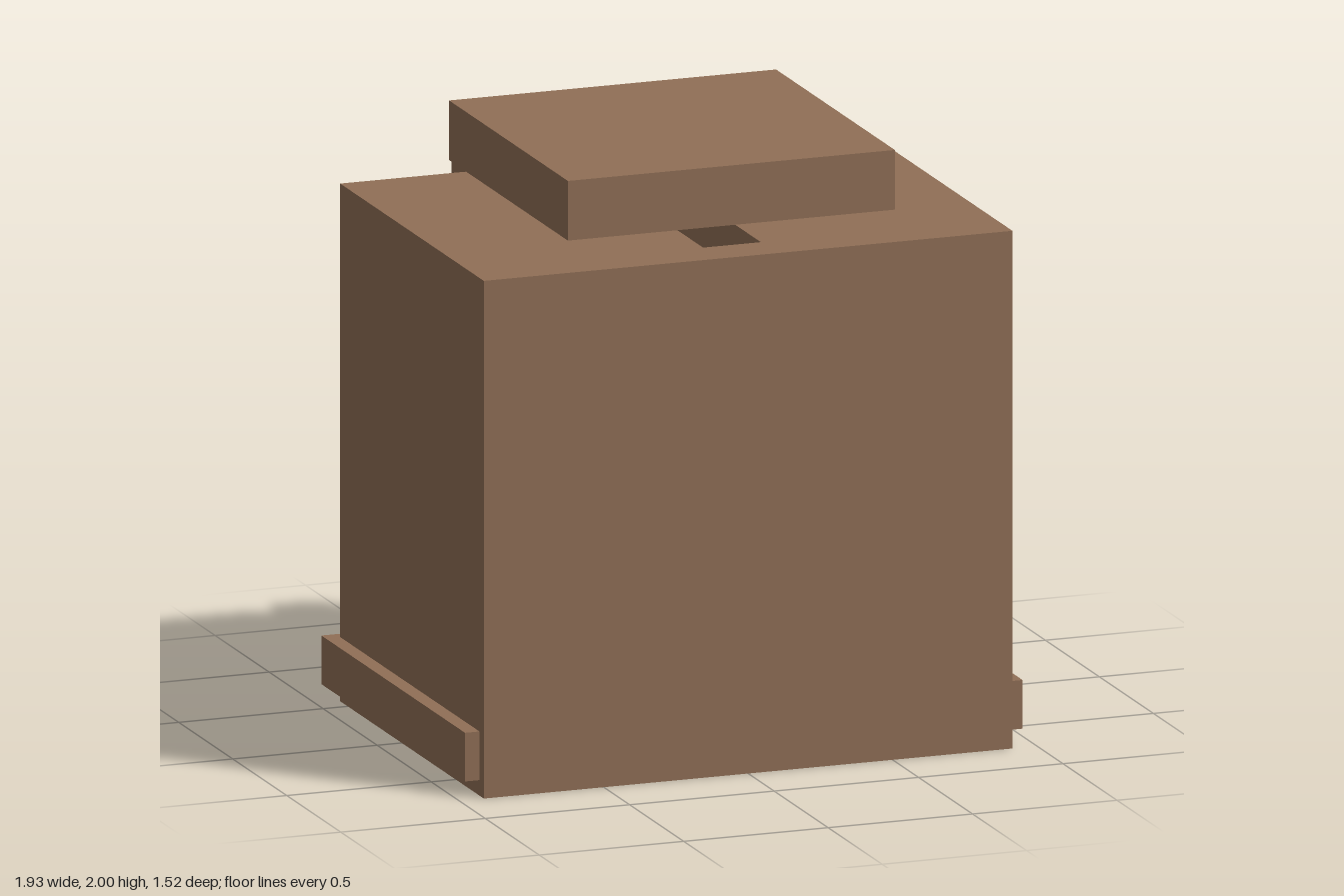
import * as THREE from 'three';

export function createModel() {
  const group = new THREE.Group();
  const brown = new THREE.MeshStandardMaterial({ color: 0x906f56 });
  brown.name = 'brown';
  const cream = new THREE.MeshStandardMaterial({ color: 0xc8bfa8 });
  cream.name = 'cream';
  const gold = new THREE.MeshStandardMaterial({ color: 0xc8b06f });
  gold.name = 'gold';

  // Box given by its extents on each axis
  function box(name, material, [x0, x1], [y0, y1], [z0, z1]) {
    const mesh = new THREE.Mesh(new THREE.BoxGeometry(x1 - x0, y1 - y0, z1 - z0), material);
    mesh.position.set((x0 + x1) / 2, (y0 + y1) / 2, (z0 + z1) / 2);
    mesh.name = name;
    group.add(mesh);
    return mesh;
  }

  // Body: plan outline with a narrow slot running in from the back
  const plan = new THREE.Shape([
    [-0.915, -0.76], [0.915, -0.76], [0.915, 0.57], [0.1, 0.57],
    [0.1, -0.61], [-0.1, -0.61], [-0.1, 0.57], [-0.915, 0.57],
  ].map(([x, y]) => new THREE.Vector2(x, y)));
  const bodyGeometry = new THREE.ExtrudeGeometry(plan, { depth: 1.735, bevelEnabled: false });
  bodyGeometry.rotateX(-Math.PI / 2);
  const body = new THREE.Mesh(bodyGeometry, brown);
  body.name = 'body';
  group.add(body);

  // Filler inside the slot, leaving a shallow groove underneath and a deep one on top
  box('slotCore', brown, [-0.1, 0.1], [0.055, 1.45], [-0.565, 0.61]);

  // Lid raised above the body
  box('lid', brown, [-0.566, 0.566], [1.80, 2.0], [-0.495, 0.605]);

  // Base rail wrapping the sides and the back
  box('backRail', brown, [-0.965, 0.965], [0.052, 0.215], [-0.61, -0.57]);
  for (const side of [-1, 1]) {
    const [inner, outer] = [0.915 * side, 0.965 * side];
    box(side > 0 ? 'leftRail' : 'rightRail', brown,
      [Math.min(inner, outer), Math.max(inner, outer)], [0.052, 0.215], [-0.57, 0.72]);
    const post = box(side > 0 ? 'leftPost' : 'rightPost', brown,
      [-0.082, 0.082], [0.205, 1.80], [-0.695, -0.565]);
    post.position.x = side * 0.4;
  }

  // Pale back plate and the block below it
  box('backPlate', cream, [-0.23, 0.23], [0.24, 1.77], [-0.66, -0.53]);
  box('latchBlock', gold, [-0.132, 0.132], [0.02, 0.25], [-0.76, -0.595]);

  return group;
}
